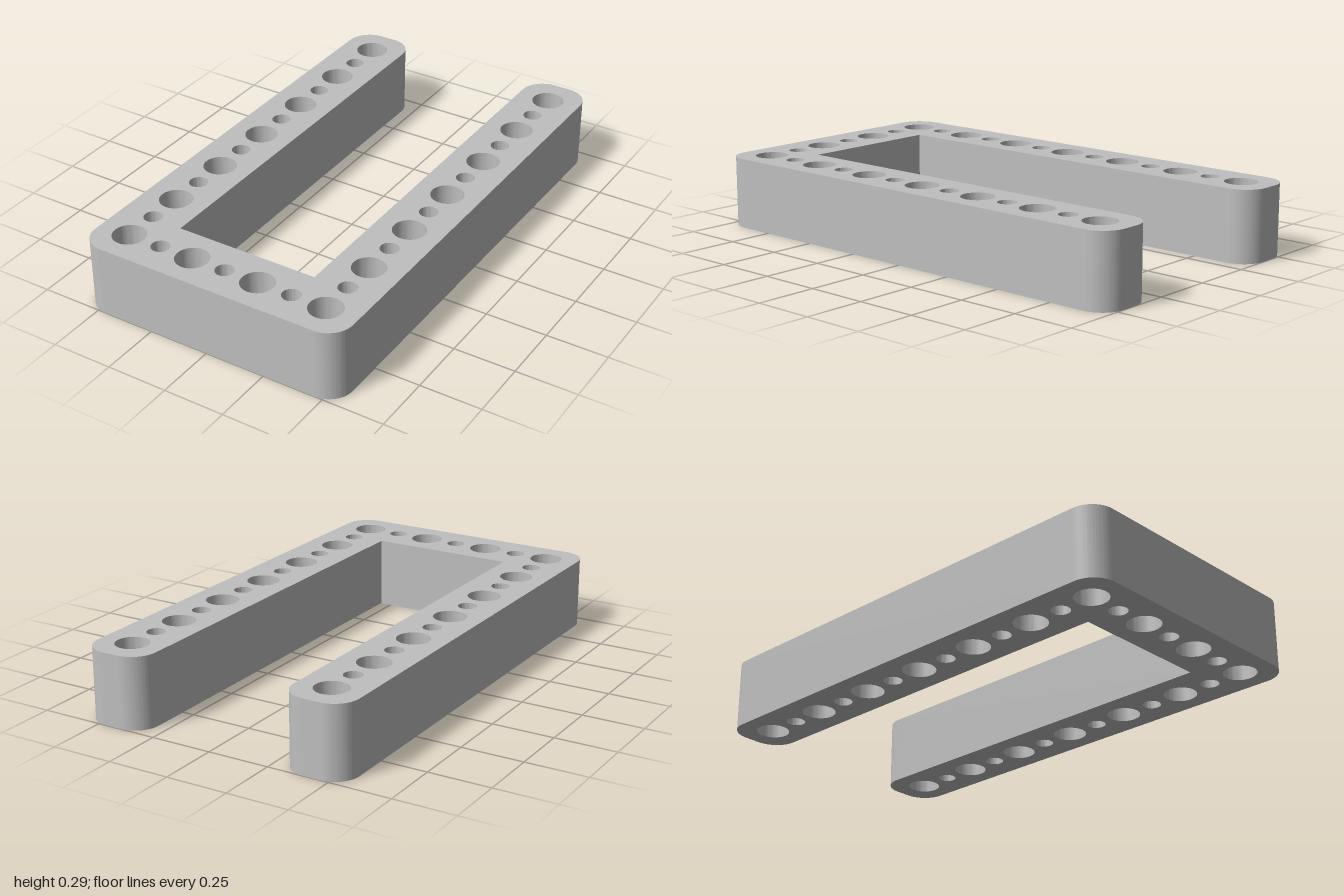
import * as THREE from 'three';
import { toCreasedNormals } from 'three/addons/utils/BufferGeometryUtils.js';

const HALF_W = 0.566, INNER = 0.298, BAR_Z = 0.732, HEIGHT = 0.289;
const CORNER = 0.1, PITCH = 0.1443, ROW_X = 0.433, ROW_Z = 0.866;
const BIG = 0.066, SMALL = 0.037;

// U-shaped outline, drawn with shape y = -z
function frameOutline() {
  const r = CORNER, w = HALF_W, q = Math.PI / 2;
  const s = new THREE.Shape();
  s.moveTo(-w + r, -1);
  s.absarc(w - r, -1 + r, r, -q, 0, false);
  s.absarc(w - r, 1 - r, r, 0, q, false);
  s.absarc(INNER + r, 1 - r, r, q, 2 * q, false);
  s.lineTo(INNER, -BAR_Z);
  s.lineTo(-INNER, -BAR_Z);
  s.absarc(-INNER - r, 1 - r, r, 0, q, false);
  s.absarc(-w + r, 1 - r, r, q, 2 * q, false);
  s.absarc(-w + r, -1 + r, r, 2 * q, 3 * q, false);
  return s;
}

function addHole(shape, x, y, radius) {
  const hole = new THREE.Path();
  hole.absarc(x, y, radius, 0, Math.PI * 2, true);
  shape.holes.push(hole);
}

export function createModel() {
  const group = new THREE.Group();
  group.name = 'perforatedFrame';
  const grey = new THREE.MeshStandardMaterial({ color: 0xbfbfbf });
  grey.name = 'grey';

  const shape = frameOutline();
  // alternating large and small holes along both arms
  for (const side of [-1, 1]) {
    for (let i = 0; i <= 12; i++) {
      addHole(shape, side * ROW_X, -ROW_Z + i * PITCH, i % 2 ? SMALL : BIG);
    }
  }
  // holes across the front bar, between the corner holes
  for (let i = 1; i < 6; i++) {
    addHole(shape, -ROW_X + i * PITCH, -ROW_Z, i % 2 ? SMALL : BIG);
  }

  const geometry = new THREE.ExtrudeGeometry(shape, {
    depth: HEIGHT, bevelEnabled: false, curveSegments: 24,
  });
  geometry.rotateX(-Math.PI / 2);
  const frame = new THREE.Mesh(toCreasedNormals(geometry, 0.6), grey);
  frame.name = 'uFrame';
  group.add(frame);
  return group;
}
